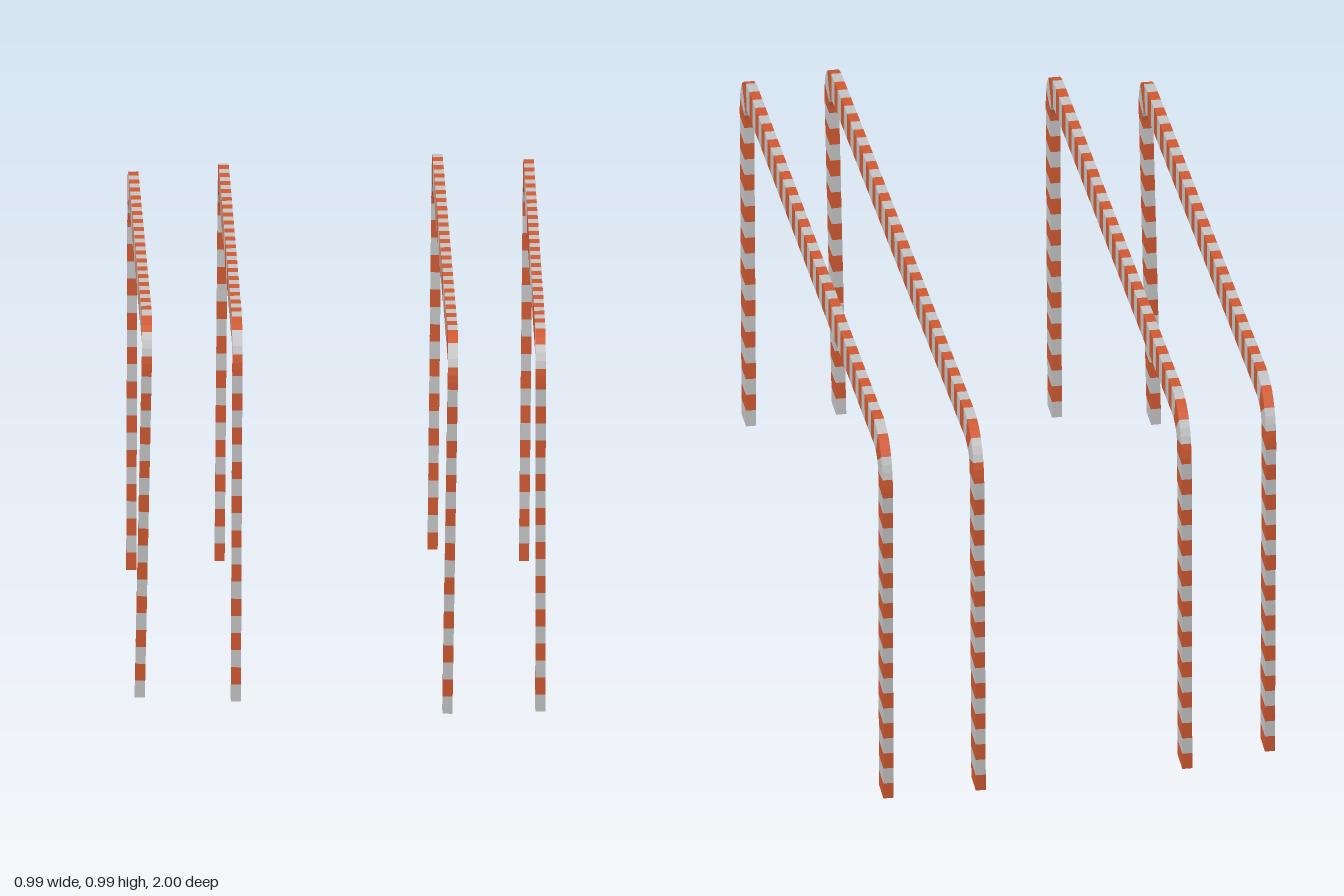
import * as THREE from 'three';

const orange = new THREE.MeshStandardMaterial({ color: 0xd05a32 });
orange.name = 'orange stripe';
const grey = new THREE.MeshStandardMaterial({ color: 0xc4c4c4 });
grey.name = 'light grey stripe';

const HALF_WIDTH = 0.012;
const HALF_DEPTH = 0.0335;
const STRIPE = 0.0415;
const STEPS = 3; // cross-sections per stripe

// Centre line of each bar: back foot, back corner, front corner, front foot
const bars = [
  { name: 'outerRightArch', points: [[-0.483, 0.004, -0.808], [-0.480, 0.943, -0.848], [-0.449, 0.941, 0.788], [-0.467, 0.06, 0.768]] },
  { name: 'innerRightArch', points: [[-0.274, 0.010, -0.875], [-0.266, 0.946, -0.915], [-0.236, 0.946, 0.838], [-0.240, 0.065, 0.834]] },
  { name: 'innerLeftArch', points: [[0.230, 0.024, -0.932], [0.240, 0.956, -0.968], [0.274, 0.941, 0.968], [0.260, 0.06, 0.938]] },
  { name: 'outerLeftArch', points: [[0.446, 0.004, -0.898], [0.456, 0.948, -0.952], [0.481, 0.943, 0.938], [0.480, 0.06, 0.914]] },
];

// Straight legs and beam joined by rounded corners
function makePath(points) {
  const [a, b, c, d] = points.map((p) => new THREE.Vector3(...p));
  const toward = (from, to, dist) => from.clone().add(to.clone().sub(from).setLength(dist));
  const b0 = toward(b, a, 0.11), b1 = toward(b, c, 0.11);
  const c0 = toward(c, b, 0.085), c1 = toward(c, d, 0.085);
  const path = new THREE.CurvePath();
  path.add(new THREE.LineCurve3(a, b0));
  path.add(new THREE.QuadraticBezierCurve3(b0, b, b1));
  path.add(new THREE.LineCurve3(b1, c0));
  path.add(new THREE.QuadraticBezierCurve3(c0, c, c1));
  path.add(new THREE.LineCurve3(c1, d));
  return path;
}

// Rectangular cross-section at u, deep in the plane of the arch
function section(path, u) {
  const p = path.getPointAt(u);
  const t = path.getTangentAt(u);
  const out = new THREE.Vector3().crossVectors(t, new THREE.Vector3(1, 0, 0)).normalize();
  const side = new THREE.Vector3().crossVectors(out, t).normalize();
  return [[1, 1], [-1, 1], [-1, -1], [1, -1]].map(([s, o]) =>
    p.clone().addScaledVector(side, s * HALF_WIDTH).addScaledVector(out, o * HALF_DEPTH));
}

function addQuad(list, a, b, c, d) {
  for (const v of [a, b, c, a, c, d]) list.push(v.x, v.y, v.z);
}

function makeArch({ name, points }) {
  const arch = new THREE.Group();
  arch.name = name;
  const path = makePath(points);
  const stripes = 2 * Math.round(path.getLength() / STRIPE / 2);
  const rings = stripes * STEPS;
  const faces = [[], []]; // orange, grey
  let previous = section(path, 0);
  const first = previous;
  for (let i = 0; i < rings; i++) {
    const next = section(path, (i + 1) / rings);
    const list = faces[Math.floor(i / STEPS) % 2];
    for (let k = 0; k < 4; k++) {
      const m = (k + 1) % 4;
      addQuad(list, previous[k], previous[m], next[m], next[k]);
    }
    previous = next;
  }
  // Cut ends at the feet
  addQuad(faces[0], first[3], first[2], first[1], first[0]);
  addQuad(faces[1], previous[0], previous[1], previous[2], previous[3]);

  [[orange, 'orangeStripes'], [grey, 'greyStripes']].forEach(([material, label], i) => {
    const geometry = new THREE.BufferGeometry();
    geometry.setAttribute('position', new THREE.Float32BufferAttribute(faces[i], 3));
    geometry.computeVertexNormals();
    const mesh = new THREE.Mesh(geometry, material);
    mesh.name = label;
    arch.add(mesh);
  });
  return arch;
}

export function createModel() {
  const model = new THREE.Group();
  model.name = 'stripedBarriers';
  for (const bar of bars) model.add(makeArch(bar));
  return model;
}
